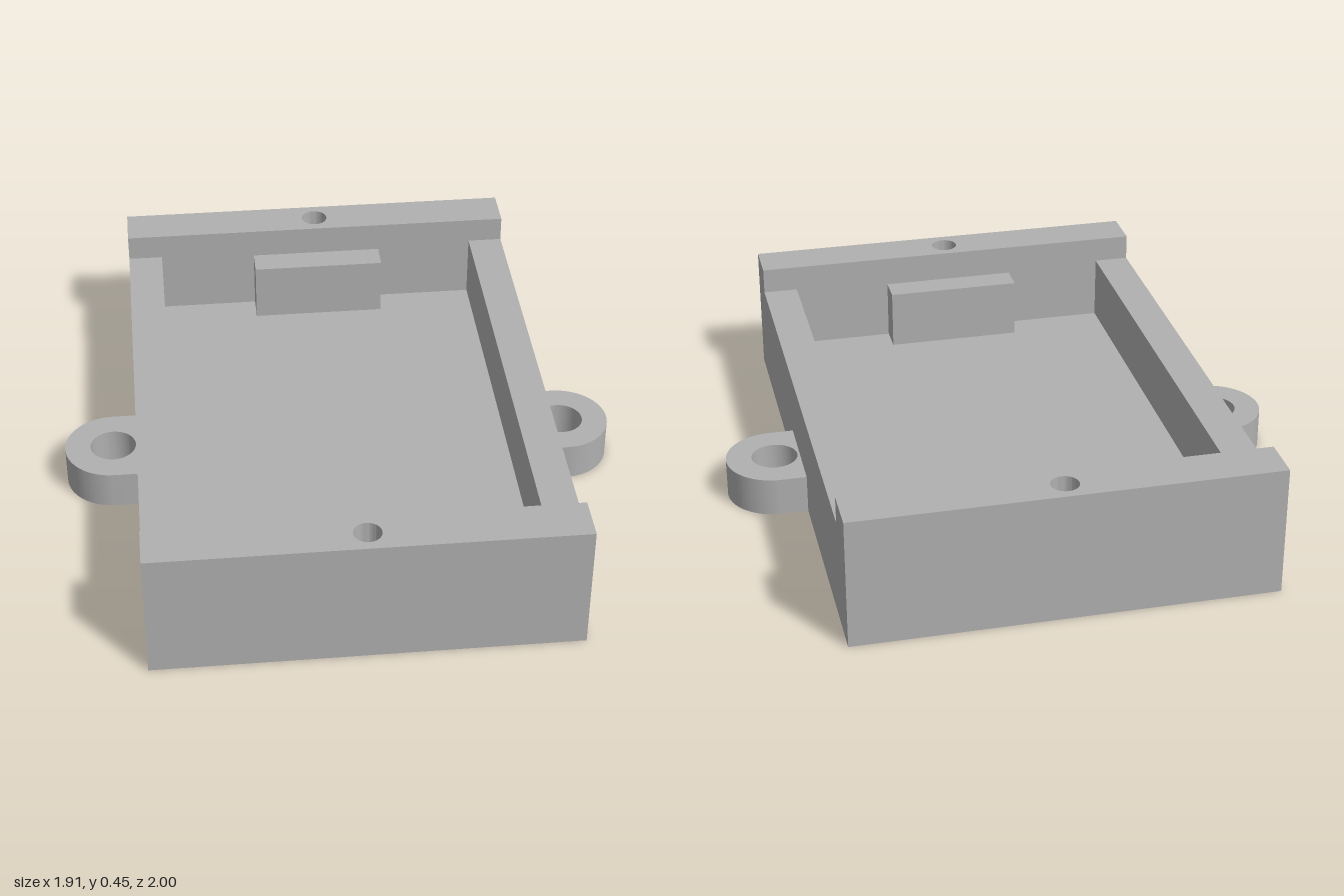
import * as THREE from 'three';
import { toCreasedNormals } from 'three/addons/utils/BufferGeometryUtils.js';

const HALF_W = 0.703, HALF_L = 1;      // outer half width and half length
const INNER_W = 0.581, INNER_L = 0.846; // inner half width and half length
const FLOOR = 0.133, SIDE_TOP = 0.357, END_TOP = 0.447;

export function createModel() {
  const model = new THREE.Group();
  model.name = 'mountingTray';
  const grey = new THREE.MeshStandardMaterial({ color: 0xb0b0b0 });
  grey.name = 'plainGrey';

  const add = (name, geometry) => {
    const mesh = new THREE.Mesh(geometry, grey);
    mesh.name = name;
    model.add(mesh);
    return mesh;
  };

  // Box given by its lower and upper limits on each axis
  const box = (name, x0, x1, y0, y1, z0, z1) =>
    add(name, new THREE.BoxGeometry(x1 - x0, y1 - y0, z1 - z0)
      .translate((x0 + x1) / 2, (y0 + y1) / 2, (z0 + z1) / 2));

  // Plan outline with a round hole, raised from y0 to y1
  const raise = (shape, holeX, holeY, radius, y0, y1) => {
    shape.holes.push(new THREE.Path().absarc(holeX, holeY, radius, 0, Math.PI * 2, true));
    const geometry = new THREE.ExtrudeGeometry(shape, {
      depth: y1 - y0, bevelEnabled: false, curveSegments: 32,
    });
    geometry.rotateX(-Math.PI / 2).translate(0, y0, 0);
    return toCreasedNormals(geometry, 0.6);
  };

  // Floor plate
  box('floor', -HALF_W, HALF_W, 0, FLOOR, -HALF_L, HALF_L);

  // Low side walls
  box('leftWall', INNER_W, HALF_W, FLOOR, SIDE_TOP, -INNER_L, INNER_L);
  box('rightWall', -HALF_W, -INNER_W, FLOOR, SIDE_TOP, -INNER_L, INNER_L);

  // Tall end wall with a blind screw hole, used at both ends
  const endShape = new THREE.Shape([
    new THREE.Vector2(-HALF_W, -HALF_L), new THREE.Vector2(HALF_W, -HALF_L),
    new THREE.Vector2(HALF_W, -INNER_L), new THREE.Vector2(-HALF_W, -INNER_L),
  ]);
  const endWall = raise(endShape, 0, -0.923, 0.046, FLOOR, END_TOP);

  // Mounting ear with a through hole, used on both sides
  const earShape = new THREE.Shape();
  earShape.moveTo(HALF_W, -0.167);
  earShape.lineTo(0.79, -0.167);
  earShape.absarc(0.79, 0, 0.167, -Math.PI / 2, Math.PI / 2, false);
  earShape.lineTo(HALF_W, 0.167);
  earShape.closePath();
  const ear = raise(earShape, 0.79, 0, 0.079, 0, FLOOR);

  add('frontEndWall', endWall);
  add('backEndWall', endWall).rotation.y = Math.PI;
  add('leftEar', ear);
  add('rightEar', ear).rotation.y = Math.PI;

  // Support blocks against the end walls
  box('frontSupport', -0.236, 0.236, FLOOR, 0.342, 0.748, INNER_L);
  box('backSupport', -0.236, 0.236, FLOOR, 0.342, -INNER_L, -0.748);

  return model;
}
